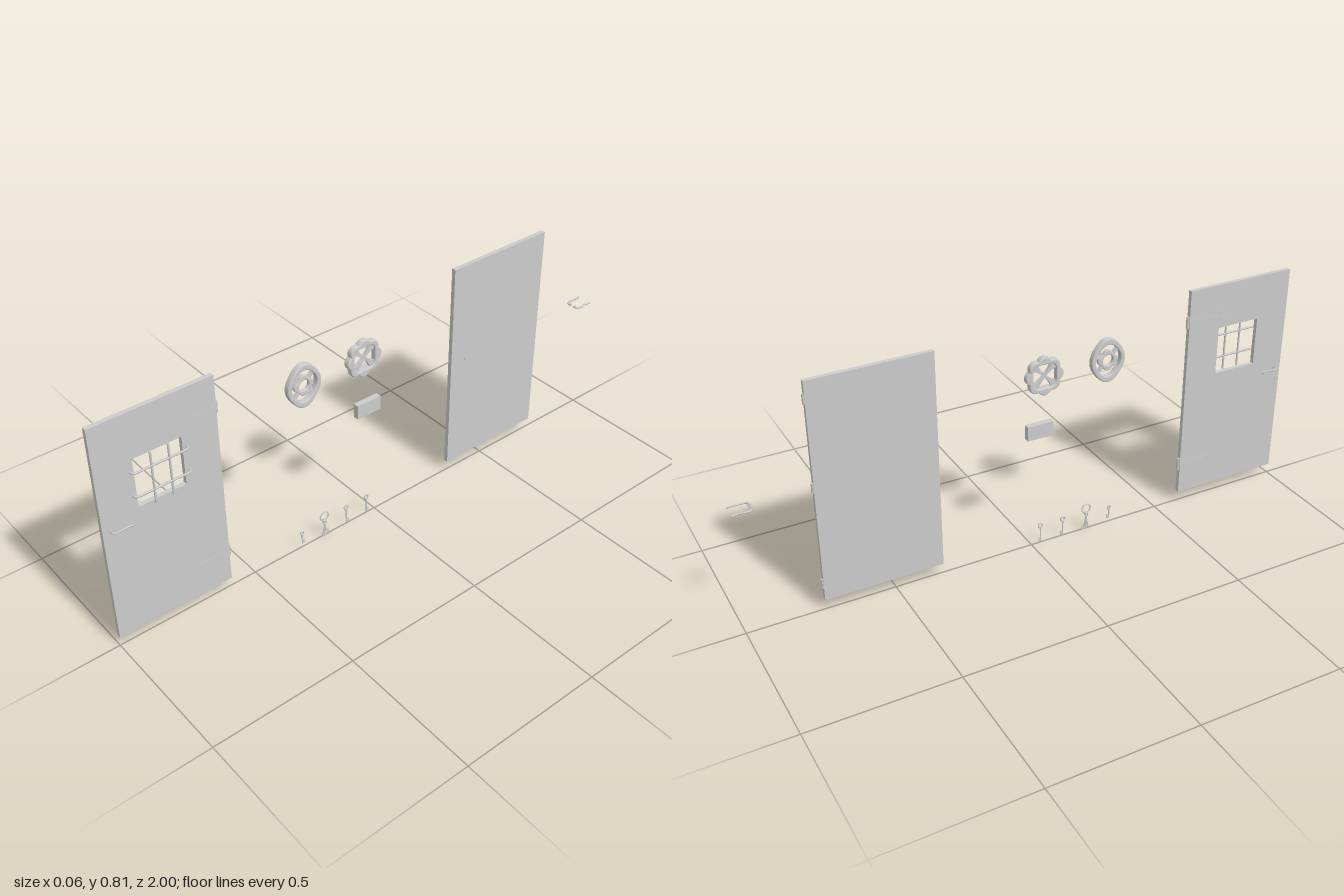
import * as THREE from 'three';

const mat = new THREE.MeshStandardMaterial({ color: 0xcccccc });
const V = (x, y, z) => new THREE.Vector3(x, y, z);

function add(parent, name, geo, x = 0, y = 0, z = 0) {
  const m = new THREE.Mesh(geo, mat);
  m.name = name;
  m.position.set(x, y, z);
  parent.add(m);
  return m;
}

function group(parent, name, x = 0, y = 0, z = 0) {
  const g = new THREE.Group();
  g.name = name;
  g.position.set(x, y, z);
  parent.add(g);
  return g;
}

// Extrudes a (z, y) outline so that it is centred on x = 0
function plate(shape, depth, bevel = 0) {
  const g = new THREE.ExtrudeGeometry(shape, {
    depth: depth - 2 * bevel, bevelEnabled: bevel > 0, bevelSize: bevel,
    bevelOffset: -bevel, bevelThickness: bevel, bevelSegments: 2, curveSegments: 16,
  });
  g.translate(0, 0, -(depth - 2 * bevel) / 2);
  return g.rotateY(-Math.PI / 2);
}

const rect = (C, u0, v0, u1, v1) => new C([[u0, v0], [u1, v0], [u1, v1], [u0, v1]].map(p => new THREE.Vector2(...p)));

// Closed outline from a polar radius rule
function polar(C, radius, n = 96) {
  const pts = [];
  for (let i = 0; i < n; i++) {
    const a = i / n * Math.PI * 2, r = radius(a);
    pts.push(new THREE.Vector2(r * Math.cos(a), r * Math.sin(a)));
  }
  return new C(pts);
}

const tube = (pts, r, n = 32) => new THREE.TubeGeometry(new THREE.CatmullRomCurve3(pts, false, 'centripetal'), n, r, 8);
const torus = (R, r) => new THREE.TorusGeometry(R, r, 8, 28).rotateY(Math.PI / 2);

// Pair of curved levers, one on each side of a door; dir points along the grip
function levers(parent, y, z) {
  const g = group(parent, 'leverHandles', 0, y, z);
  for (const s of [-1, 1]) {
    add(g, 'lever', tube([V(s * 0.007, 0, 0), V(s * 0.019, 0, 0), V(s * 0.025, 0, -0.006),
      V(s * 0.026, 0, -0.02), V(s * 0.024, 0.001, -0.04), V(s * 0.026, 0, -0.06)], 0.003));
    add(g, 'leverTip', new THREE.SphereGeometry(0.0042, 12, 8), s * 0.026, 0, -0.06);
    add(g, 'rose', new THREE.CylinderGeometry(0.006, 0.006, 0.003, 16).rotateZ(Math.PI / 2), s * 0.0085, 0, 0);
  }
}

// Small curved keyhole cover on both faces
function keyholeCovers(parent, y, z, size) {
  const s = new THREE.Shape();
  s.moveTo(0, size);
  s.quadraticCurveTo(size * 1.4, 0, 0, -size);
  s.quadraticCurveTo(size * 0.5, 0, 0, size);
  add(parent, 'keyholeCover', plate(s, 0.017), 0, y, z);
}

function barredDoor(parent) {
  const g = group(parent, 'barredDoor');
  const slab = rect(THREE.Shape, 0.594, 0.043, 1, 0.82);
  slab.holes.push(rect(THREE.Path, 0.717, 0.49, 0.878, 0.662));
  add(g, 'doorSlab', plate(slab, 0.015));

  // Window grille, the crossbars bent back into the door
  for (const z of [0.767, 0.826])
    add(g, 'verticalBar', new THREE.CylinderGeometry(0.0035, 0.0035, 0.184, 10), 0.018, 0.578, z);
  for (const y of [0.536, 0.62]) {
    add(g, 'crossBar', tube([V(0.006, y, 0.701), V(0.015, y, 0.702), V(0.0185, y, 0.709), V(0.0185, y, 0.75),
      V(0.0185, y, 0.84), V(0.0185, y, 0.88), V(0.015, y, 0.887), V(0.006, y, 0.888)], 0.0038, 40));
    for (const z of [0.701, 0.888])
      add(g, 'barSocket', new THREE.CylinderGeometry(0.006, 0.006, 0.003, 12).rotateZ(Math.PI / 2), 0.008, y, z);
  }

  // Strap hinges with arrow-shaped ends
  for (const y of [0.158, 0.706]) {
    const s = new THREE.Shape();
    s.moveTo(0, -0.011);
    s.lineTo(0.12, -0.006);
    s.quadraticCurveTo(0.122, -0.017, 0.13, -0.017);
    s.quadraticCurveTo(0.142, -0.006, 0.165, 0);
    s.quadraticCurveTo(0.142, 0.006, 0.13, 0.017);
    s.quadraticCurveTo(0.122, 0.017, 0.12, 0.006);
    s.lineTo(0, 0.011);
    add(g, 'strapHinge', plate(s, 0.0172), 0, y, 0.594);
    add(g, 'hingeKnuckle', new THREE.CylinderGeometry(0.006, 0.006, 0.042, 12), 0, y, 0.592);
  }
  levers(g, 0.453, 0.974);
  keyholeCovers(g, 0.408, 0.98, 0.013);
}

function plainDoor(parent) {
  const g = group(parent, 'plainDoor');
  add(g, 'doorSlab', plate(rect(THREE.Shape, -0.742, 0.043, -0.332, 0.82), 0.015));
  for (const y of [0.104, 0.458, 0.76])
    add(g, 'hingeKnuckle', new THREE.CylinderGeometry(0.006, 0.006, 0.034, 12), 0, y, -0.742);
  keyholeCovers(g, 0.455, -0.399, 0.011);
}

// Rotating window ornaments
function pointedRosette(parent) {
  const g = group(parent, 'pointedRosette', 0, 0.643, 0.28);
  const ring = polar(THREE.Shape, a => 0.063 + 0.015 * Math.abs(Math.sin(a)) ** 6);
  ring.holes.push(polar(THREE.Path, a => 0.047 + 0.009 * Math.abs(Math.sin(a)) ** 6));
  add(g, 'outerRing', plate(ring, 0.022, 0.004));
  const inner = polar(THREE.Shape, a => 0.033 + 0.004 * Math.cos(4 * a));
  inner.holes.push(polar(THREE.Path, () => 0.019));
  add(g, 'innerRing', plate(inner, 0.014, 0.003));
  for (let i = 0; i < 4; i++) {
    const a = Math.PI / 4 + i * Math.PI / 2;
    const spoke = add(g, 'spoke', new THREE.BoxGeometry(0.012, 0.026, 0.009),
      0, 0.041 * Math.sin(a), 0.041 * Math.cos(a));
    spoke.rotation.x = Math.PI / 2 - a;
  }
}

function crossRosette(parent) {
  const g = group(parent, 'crossRosette', 0, 0.643, 0.045);
  const ring = polar(THREE.Shape, a => 0.059 + 0.009 * Math.abs(Math.cos(4 * a)), 128);
  ring.holes.push(polar(THREE.Path, a => 0.045 - 0.004 * Math.cos(4 * a)));
  add(g, 'scallopedRing', plate(ring, 0.022, 0.004));
  // Leaf-shaped diagonal spokes
  for (let i = 0; i < 4; i++) {
    const s = new THREE.Shape();
    s.moveTo(0, -0.004);
    s.quadraticCurveTo(0.025, -0.003, 0.05, -0.014);
    s.lineTo(0.05, 0.014);
    s.quadraticCurveTo(0.025, 0.003, 0, 0.004);
    add(g, 'leafSpoke', plate(s, 0.012)).rotation.x = -Math.PI / 4 + i * Math.PI / 2;
  }
}

// Key hanging down from its bow, which is centred on the group origin
function key(parent, y, z, len, bow = 0.008) {
  const g = group(parent, 'key', 0, y, z);
  add(g, 'bow', torus(bow - 0.0022, 0.0024));
  add(g, 'shank', new THREE.CylinderGeometry(0.0022, 0.0022, len - bow, 8), 0, -(len + bow) / 2 + 0.002, 0);
  add(g, 'collar', new THREE.CylinderGeometry(0.0038, 0.0038, 0.004, 10), 0, -bow - 0.003, 0);
  for (const k of [0, 1])
    add(g, 'bit', new THREE.BoxGeometry(0.003, 0.006, 0.009), 0, -len + 0.006 + k * 0.008, -0.005);
  return g;
}

export function createModel() {
  const model = new THREE.Group();
  model.name = 'doorSet';
  barredDoor(model);
  plainDoor(model);
  levers(model, 0.453, -0.936);
  pointedRosette(model);
  crossRosette(model);
  add(model, 'lockBox', new THREE.BoxGeometry(0.021, 0.051, 0.094), 0, 0.448, 0.029);

  // Loose keys and a ring of keys
  key(model, 0.063, 0.308, 0.046, 0.008);
  key(model, 0.073, 0.122, 0.065, 0.01);
  key(model, 0.073, 0.035, 0.065, 0.01);
  const ring = group(model, 'keyRing', 0, 0.085, 0.215);
  add(ring, 'ring', torus(0.0165, 0.0023));
  for (const [x, tilt] of [[-0.004, 0.2], [0, 0], [0.004, -0.2]]) {
    const k = key(ring, -0.021, 0, 0.061, 0.007);
    k.position.x = x;
    k.rotation.x = tilt;
  }
  return model;
}
